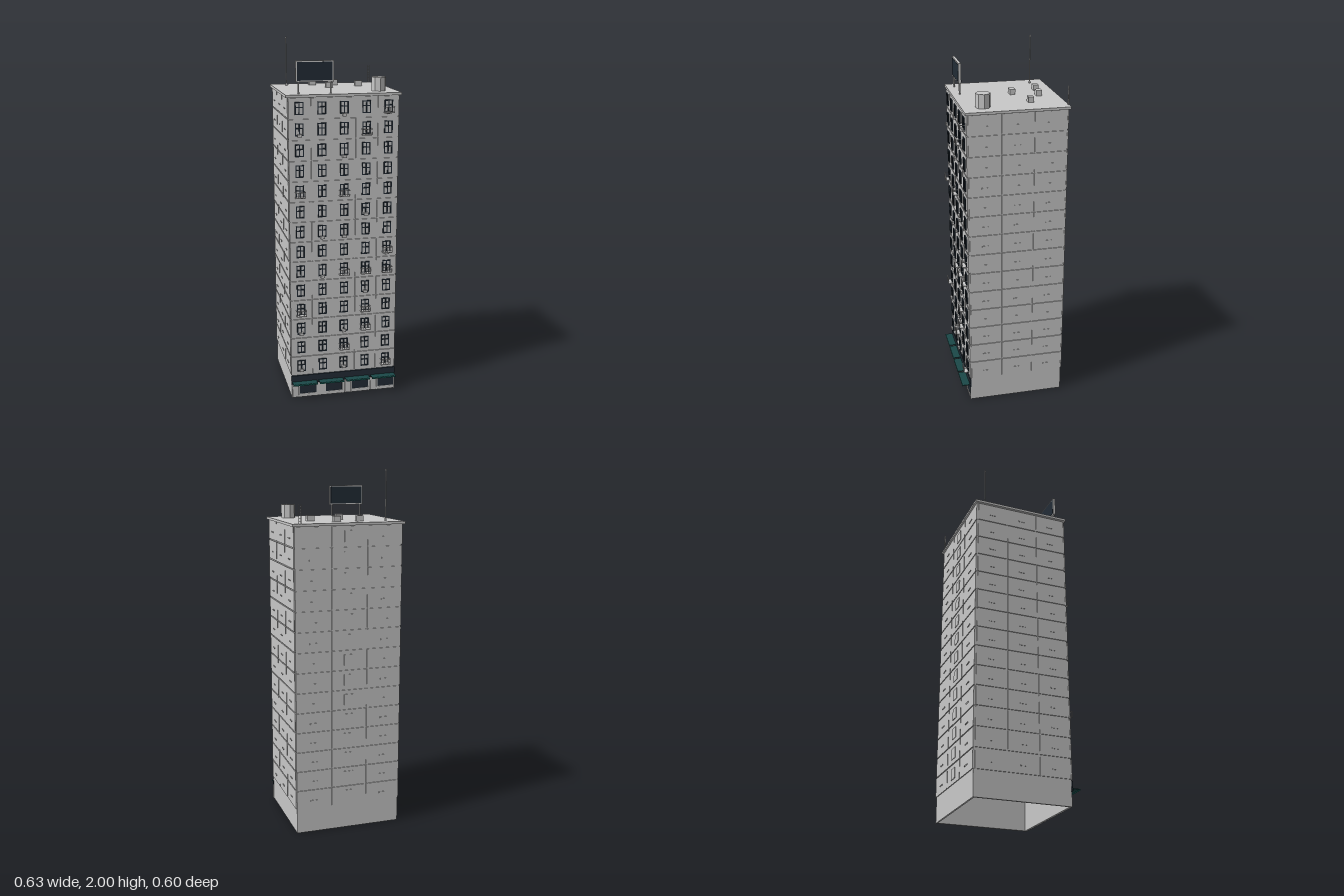
import * as THREE from 'three';

const concrete = new THREE.MeshStandardMaterial({ color: 0xc8c8c8 }); concrete.name = 'concrete';
const dark = new THREE.MeshStandardMaterial({ color: 0x222c36 }); dark.name = 'dark glass';
const teal = new THREE.MeshStandardMaterial({ color: 0x1b4848 }); teal.name = 'awning teal';
const lip = new THREE.MeshStandardMaterial({ color: 0x1a6a62 }); lip.name = 'awning trim';

const FLOORS = 14, BASE = 0.14, PITCH = 0.1122;
const COLS = [-0.244, -0.122, 0, 0.122, 0.244];

export function createModel() {
  const model = new THREE.Group();
  model.name = 'towerBlock';

  const group = (name, parent = model) => {
    const g = new THREE.Group();
    g.name = name;
    parent.add(g);
    return g;
  };
  const box = (name, w, h, d, x, y, z, mat = concrete, parent = model) => {
    const m = new THREE.Mesh(new THREE.BoxGeometry(w, h, d), mat);
    m.name = name;
    m.position.set(x, y, z);
    parent.add(m);
    return m;
  };
  const rod = (name, r, h, x, y, z, sides = 6, parent = model) => {
    const m = new THREE.Mesh(new THREE.CylinderGeometry(r, r, h, sides).toNonIndexed(), concrete);
    m.geometry.computeVertexNormals();
    m.name = name;
    m.position.set(x, y + h / 2, z);
    parent.add(m);
    return m;
  };

  // Hollow shell, open underneath
  const rect = (P, x, z0, z1) => {
    const p = new P();
    p.moveTo(-x, z0); p.lineTo(x, z0); p.lineTo(x, z1); p.lineTo(-x, z1); p.closePath();
    return p;
  };
  const outline = rect(THREE.Shape, 0.3, -0.25, 0.286);
  outline.holes.push(rect(THREE.Path, 0.29, -0.24, 0.276));
  const shell = new THREE.Mesh(new THREE.ExtrudeGeometry(outline, { depth: 1.712, bevelEnabled: false }), concrete);
  shell.name = 'wallShell';
  shell.rotation.x = -Math.PI / 2;
  model.add(shell);
  box('roofSlab', 0.63, 0.014, 0.563, 0, 1.718, -0.0185);

  // Facade panels with narrow joints between them
  const facade = group('facadePanels');
  const GAP = 0.006;
  for (let f = 0; f < FLOORS; f++) {
    const y = BASE + PITCH * (f + 0.5), h = PITCH - GAP;
    for (const x of COLS) box('frontPanel', 0.122 - GAP, h, 0.006, x, y, 0.253, concrete, facade);
    for (let c = -1; c <= 1; c++) {
      const bx = c * 0.2033, sz = -0.0165 + c * 0.1775;
      box('backPanel', 0.2033 - GAP, h, 0.006, bx, y, -0.288, concrete, facade);
      if (c === 0) box('backHatch', 0.055, 0.06, 0.004, bx, y, -0.292, concrete, facade);
      else box('backVent', 0.04, 0.006, 0.004, bx, y - 0.01, -0.292, concrete, facade);
      for (const s of [-1, 1]) {
        box('sidePanel', 0.006, h, 0.1775 - GAP, s * 0.302, y, sz, concrete, facade);
        box('sideVent', 0.003, 0.006, 0.035, s * 0.306, y - 0.01, sz, concrete, facade);
      }
    }
  }

  // Windows: dark frame bars around pale panes
  const windows = group('windows');
  for (let f = 0; f < FLOORS; f++) {
    const y0 = BASE + PITCH * f + 0.024, H = 0.062, W = 0.046, T = 0.005;
    for (const x of COLS) {
      for (const k of [0, 0.6, 1])
        box('windowRail', W, T, 0.026, x, y0 + k * H, 0.249, dark, windows);
      for (const k of [-0.5, 0, 0.5])
        box('windowStile', T, H, 0.026, x + k * (W - T), y0 + H / 2, 0.249, dark, windows);
    }
  }

  // Air conditioners, listed as [column, height]
  const coolers = [[0, 1.51], [2, 1.615], [4, 1.62], [2, 1.39], [3, 1.065], [1, 0.945], [2, 0.945], [4, 0.835],
    [1, 0.72], [3, 0.615], [0, 0.39], [2, 0.39], [0, 0.17], [2, 0.17]];
  for (const [c, y] of coolers) box('airConditioner', 0.022, 0.015, 0.016, COLS[c], y, 0.264);

  // Window trays with a railing
  const trays = [[3, 1.505], [4, 1.62], [0, 1.175], [2, 1.175], [2, 0.725], [3, 0.725], [4, 0.725],
    [4, 0.84], [0, 0.5], [3, 0.5], [3, 0.39], [2, 0.28], [4, 0.165]];
  for (const [c, y] of trays) {
    const x = COLS[c], g = group('windowTray');
    box('trayFloor', 0.055, 0.004, 0.028, x, y, 0.27, concrete, g);
    box('trayRail', 0.055, 0.003, 0.003, x, y + 0.03, 0.283, concrete, g);
    for (let i = -2; i <= 2; i++) box('trayBar', 0.002, 0.03, 0.002, x + i * 0.0132, y + 0.015, 0.283, concrete, g);
    for (const s of [-1, 1]) box('traySideRail', 0.002, 0.003, 0.026, x + s * 0.0265, y + 0.03, 0.27, concrete, g);
  }

  // Shop fronts with a dark fascia and four awnings
  box('shopFascia', 0.606, 0.052, 0.008, 0, 0.109, 0.254, dark);
  for (let i = 0; i < 4; i++) {
    const x = -0.2285 + i * 0.1525, g = group('shopFront');
    box('awning', 0.14, 0.004, 0.046, x, 0.097, 0.277, teal, g);
    box('awningTrim', 0.14, 0.007, 0.003, x, 0.0945, 0.2995, lip, g);
    box('shopWindow', 0.096, 0.062, 0.006, x + 0.021, 0.052, 0.25, dark, g);
    box('shopDoor', 0.034, 0.078, 0.006, x - 0.051, 0.04, 0.251, concrete, g);
    box('shopSill', 0.104, 0.02, 0.006, x + 0.021, 0.011, 0.252, concrete, g);
    for (const dx of [-0.03, 0.072])
      box('shopPost', 0.006, 0.084, 0.008, x + dx, 0.042, 0.252, concrete, g);
  }

  // Rooftop vents and water tank
  for (const [x, z] of [[-0.083, -0.21], [0.041, -0.195], [0.166, -0.118], [-0.016, -0.06]])
    box('roofVent', 0.04, 0.03, 0.03, x, 1.74, z);
  rod('waterTank', 0.04, 0.075, 0.216, 1.725, 0.15, 8);

  // Antenna
  box('antennaBase', 0.01, 0.012, 0.01, -0.232, 1.731, -0.217);
  rod('antennaMast', 0.003, 0.27, -0.232, 1.725, -0.217);
  box('antennaTip', 0.008, 0.008, 0.008, -0.232, 1.996, -0.217);

  // Roof ladder at the back edge
  const ladder = group('roofLadder');
  for (const s of [-1, 1]) box('ladderRail', 0.003, 0.102, 0.004, 0.273 + s * 0.006, 1.774, -0.295, concrete, ladder);
  for (let i = 0; i < 6; i++) box('ladderRung', 0.012, 0.003, 0.003, 0.273, 1.736 + i * 0.016, -0.295, concrete, ladder);

  // Billboard with a dark screen on both sides
  const board = group('billboard');
  box('billboardFrame', 0.204, 0.11, 0.014, -0.153, 1.843, 0.22, concrete, board);
  for (const s of [-1, 1]) {
    box('billboardScreen', 0.19, 0.096, 0.002, -0.153, 1.843, 0.22 + s * 0.0075, dark, board);
    rod('billboardPost', 0.005, 0.07, -0.153 + s * 0.087, 1.722, 0.22, 6, board);
  }
  return model;
}
